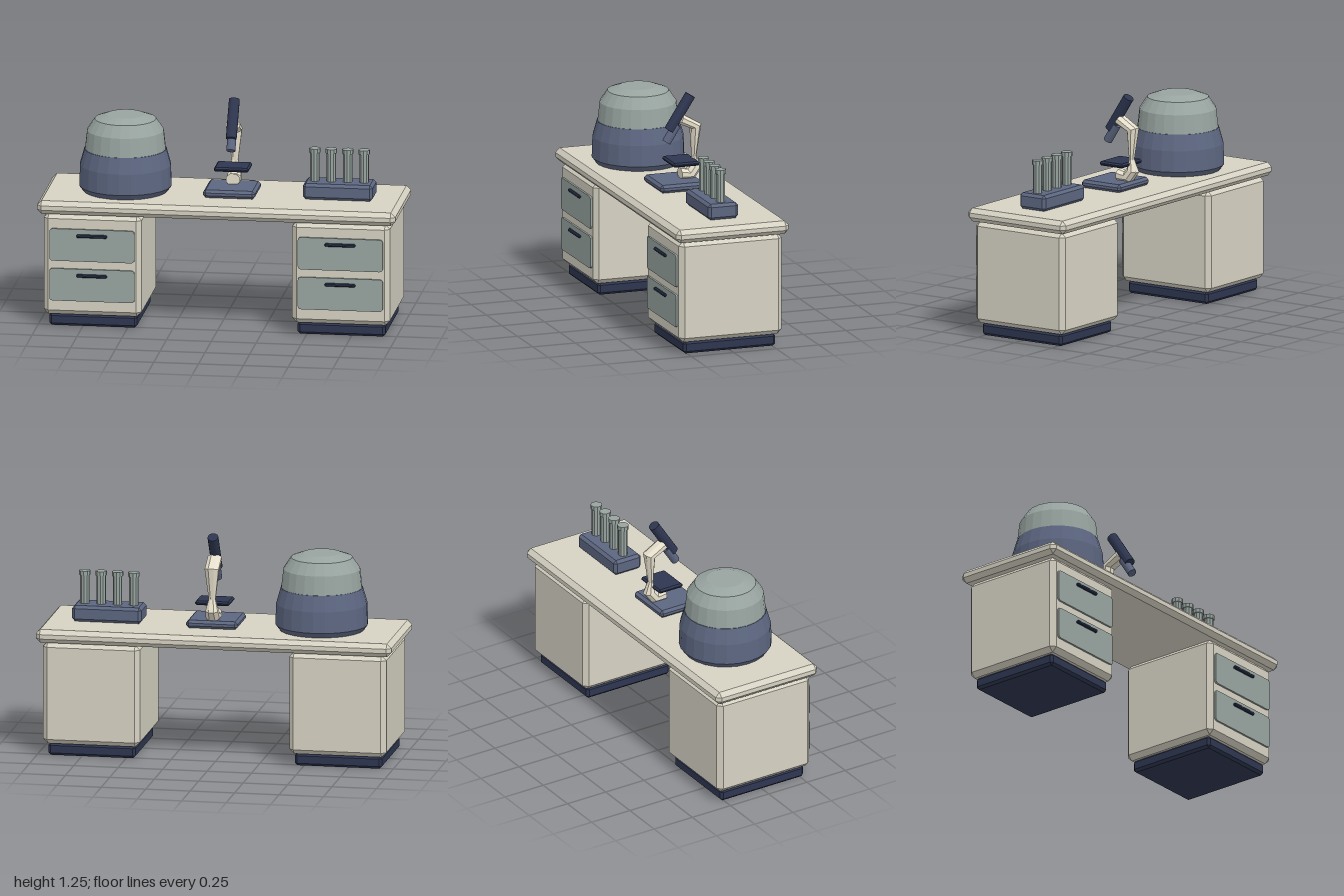
import * as THREE from 'three';
import { ConvexGeometry } from 'three/addons/geometries/ConvexGeometry.js';

const paint = (name, color, flatShading = true) => {
  const m = new THREE.MeshStandardMaterial({ color, flatShading });
  m.name = name;
  return m;
};

// Box with every edge chamfered by c
function chamferBox(w, h, d, c) {
  const points = [];
  for (const sx of [-1, 1]) for (const sy of [-1, 1]) for (const sz of [-1, 1]) {
    const x = sx * w / 2, y = sy * h / 2, z = sz * d / 2;
    points.push(
      new THREE.Vector3(x, y - sy * c, z - sz * c),
      new THREE.Vector3(x - sx * c, y, z - sz * c),
      new THREE.Vector3(x - sx * c, y - sy * c, z));
  }
  return new ConvexGeometry(points);
}

// Thin rectangular plate with rounded corners
function roundedPlate(w, h, depth, r) {
  const x = w / 2, y = h / 2, s = new THREE.Shape();
  s.moveTo(-x + r, -y).lineTo(x - r, -y).quadraticCurveTo(x, -y, x, -y + r);
  s.lineTo(x, y - r).quadraticCurveTo(x, y, x - r, y);
  s.lineTo(-x + r, y).quadraticCurveTo(-x, y, -x, y - r);
  s.lineTo(-x, -y + r).quadraticCurveTo(-x, -y, -x + r, -y);
  return new THREE.ExtrudeGeometry(s, { depth, bevelEnabled: false, curveSegments: 3 });
}

// Skin over elliptical sections [z, y, heading in degrees, half width, half thickness]
function loft(sections, sides) {
  const pos = [], index = [];
  sections.forEach(([z, y, deg, rx, rn], i) => {
    const t = THREE.MathUtils.degToRad(deg);
    for (let j = 0; j < sides; j++) {
      const a = (j + 0.5) / sides * Math.PI * 2, n = Math.sin(a) * rn;
      pos.push(Math.cos(a) * rx, y + n * Math.cos(t), z - n * Math.sin(t));
      if (i < sections.length - 1) {
        const p = i * sides + j, q = i * sides + (j + 1) % sides;
        index.push(p, q, p + sides, q, q + sides, p + sides);
      }
    }
  });
  const g = new THREE.BufferGeometry();
  g.setAttribute('position', new THREE.Float32BufferAttribute(pos, 3));
  g.setIndex(index);
  g.computeVertexNormals();
  return g;
}

export function createModel() {
  const cream = paint('cream', 0xd6d2c3);
  const ivory = paint('ivory', 0xe6dfcc);
  const sage = paint('sage grey', 0x98a4a0);
  const slate = paint('slate blue', 0x5c6680);
  const navy = paint('navy', 0x2e3650);

  const model = new THREE.Group();
  model.name = 'laboratoryBench';

  const group = (name, x = 0) => {
    const g = new THREE.Group();
    g.name = name;
    g.position.x = x;
    model.add(g);
    return g;
  };
  const add = (parent, name, geometry, material, x = 0, y = 0, z = 0) => {
    const mesh = new THREE.Mesh(geometry, material);
    mesh.name = name;
    mesh.position.set(x, y, z);
    parent.add(mesh);
    return mesh;
  };
  // Cylinder between two points [z, y]
  const rod = (parent, name, material, r, [z0, y0], [z1, y1], sides = 14) => {
    const dz = z1 - z0, dy = y1 - y0;
    const g = new THREE.CylinderGeometry(r, r, Math.hypot(dz, dy), sides);
    add(parent, name, g, material, 0, (y0 + y1) / 2, (z0 + z1) / 2).rotation.x = Math.atan2(dz, dy);
  };

  // Worktop
  add(model, 'worktop', chamferBox(2, 0.075, 0.664, 0.025), cream, 0, 0.6825);

  // Two drawer cabinets
  for (const side of [-1, 1]) {
    const cabinet = group(side < 0 ? 'rightCabinet' : 'leftCabinet', side * 0.693);
    add(cabinet, 'cabinetBody', chamferBox(0.546, 0.576, 0.606, 0.027), cream, 0, 0.357);
    add(cabinet, 'plinth', chamferBox(0.49, 0.07, 0.542, 0.014), navy, 0, 0.035);
    for (const y of [0.245, 0.472]) {
      add(cabinet, 'drawerFront', roundedPlate(0.475, 0.183, 0.012, 0.02), sage, 0, y, 0.302);
      add(cabinet, 'drawerHandle', chamferBox(0.17, 0.018, 0.018, 0.005), navy, 0, y + 0.056, 0.322);
    }
  }

  // Domed centrifuge
  const centrifuge = group('centrifuge', -0.55);
  const lathe = pts => new THREE.LatheGeometry(pts.map(p => new THREE.Vector2(...p)), 24);
  add(centrifuge, 'centrifugeBody', lathe([
    [0, 0.72], [0.235, 0.72], [0.257, 0.75], [0.253, 0.868], [0.228, 0.957], [0, 0.957]]), slate);
  add(centrifuge, 'centrifugeLid', lathe([
    [0.225, 0.955], [0.213, 1.063], [0.17, 1.127], [0.104, 1.151], [0, 1.151]]), sage);

  // Microscope
  const scope = group('microscope', 0.045);
  add(scope, 'microscopeBase', chamferBox(0.29, 0.045, 0.265, 0.015), slate, 0, 0.7425);
  add(scope, 'microscopeStage', chamferBox(0.195, 0.024, 0.157, 0.009), navy, 0, 0.861, -0.037);
  add(scope, 'microscopeArm', loft([
    [-0.03, 0.79, 180, 0, 0],
    [-0.03, 0.79, 180, 0.042, 0.036],
    [-0.09, 0.786, 145, 0.042, 0.036],
    [-0.12, 0.825, 105, 0.038, 0.036],
    [-0.112, 0.885, 90, 0.02, 0.013],
    [-0.121, 1.055, 70, 0.042, 0.034],
    [-0.032, 1.102, 30, 0.042, 0.031],
    [-0.032, 1.102, 30, 0, 0]], 8), ivory);
  rod(scope, 'eyepieceTube', navy, 0.03, [0.033, 1.04], [-0.091, 1.233]);
  rod(scope, 'objective', slate, 0.025, [0.05, 0.974], [-0.011, 1.07]);

  // Test tube rack
  const rack = group('testTubeRack', 0.645);
  add(rack, 'rackBlock', chamferBox(0.39, 0.09, 0.176, 0.016), slate, 0, 0.765);
  for (let i = 0; i < 4; i++) {
    const x = (i - 1.5) * 0.092;
    add(rack, 'testTube', new THREE.CylinderGeometry(0.026, 0.026, 0.18, 10), sage, x, 0.885);
    add(rack, 'testTubeCap', new THREE.CylinderGeometry(0.032, 0.032, 0.024, 10), sage, x, 0.983);
  }

  return model;
}
